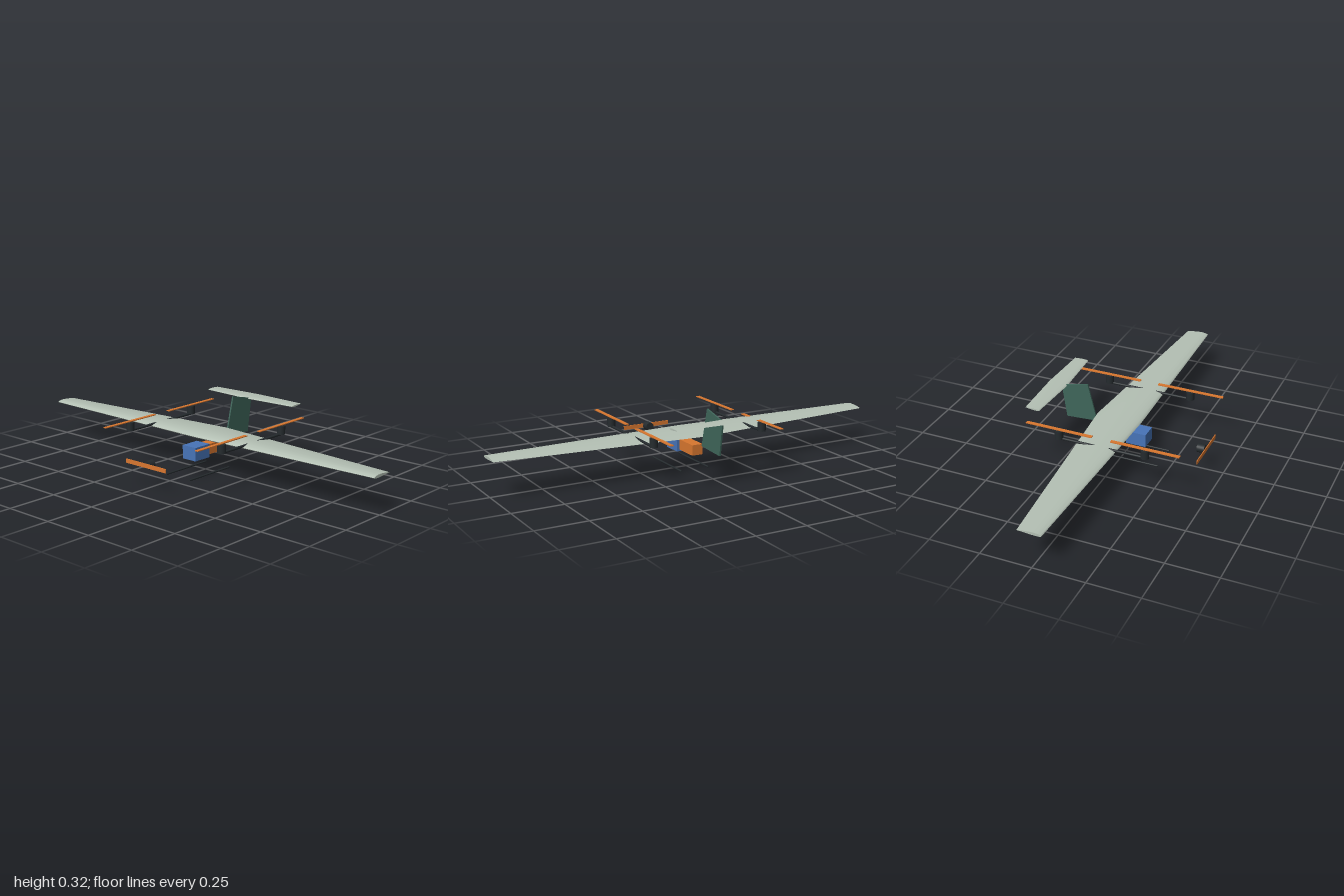
import * as THREE from 'three';
import { toCreasedNormals } from 'three/addons/utils/BufferGeometryUtils.js';

const mat = (color) => new THREE.MeshStandardMaterial({ color });

// Closed airfoil outline, unit chord, from trailing edge over the top and back underneath
function airfoil(thickness, camber, n = 14) {
  const t = (x) => 5 * thickness * (0.2969 * Math.sqrt(x) - 0.126 * x - 0.3516 * x * x + 0.2843 * x ** 3 - 0.1036 * x ** 4);
  const c = (x) => (x < 0.4 ? camber / 0.16 * (0.8 * x - x * x) : camber / 0.36 * (0.2 + 0.8 * x - x * x));
  const pts = [];
  for (let i = 0; i < 2 * n; i++) {
    const x = (1 + Math.cos(Math.PI * i / n)) / 2;
    pts.push([x, c(x) + (i <= n ? 1 : -1) * t(x)]);
  }
  return pts;
}

// Surface lofted through airfoil stations {z, lead, trail, y, rise}
function loft(profile, stations) {
  const pos = [], idx = [], m = profile.length;
  for (const s of stations) {
    const chord = s.trail - s.lead;
    for (const [u, v] of profile) pos.push(s.lead + u * chord, s.y + v * chord + u * (s.rise || 0), s.z);
  }
  for (let k = 0; k < stations.length - 1; k++) {
    for (let i = 0; i < m; i++) {
      const a = k * m + i, b = k * m + (i + 1) % m;
      idx.push(a, b, b + m, a, b + m, a + m);
    }
  }
  // Tip caps
  const caps = THREE.ShapeUtils.triangulateShape(profile.map((p) => new THREE.Vector2(...p)), []);
  const last = (stations.length - 1) * m;
  for (const [a, b, c] of caps) idx.push(a, c, b, last + a, last + b, last + c);
  const g = new THREE.BufferGeometry();
  g.setAttribute('position', new THREE.Float32BufferAttribute(pos, 3));
  g.setIndex(idx);
  return toCreasedNormals(g, 0.7);
}

export function createModel() {
  const model = new THREE.Group();
  model.name = 'aircraft';
  const skin = mat(0xb4c0b4), green = mat(0x3f665a), dark = mat(0x252b2e);
  const orange = mat(0xd9772f), blue = mat(0x4774b8);

  const add = (name, geometry, material, x = 0, y = 0, z = 0) => {
    const mesh = new THREE.Mesh(geometry, material);
    mesh.name = name;
    mesh.position.set(x, y, z);
    model.add(mesh);
    return mesh;
  };
  const rod = (r, length, sides = 16) => new THREE.CylinderGeometry(r, r, length, sides).rotateZ(Math.PI / 2);

  // Wing and tailplane
  const tip = { lead: -0.053, trail: 0.063, y: 0.178 };
  add('wing', loft(airfoil(0.12, 0.02), [
    { ...tip, z: -1 }, { lead: -0.08, trail: 0.15, y: 0.178, z: 0 }, { ...tip, z: 1 },
  ]), skin);
  const tailTip = { lead: 0.325, trail: 0.397, y: 0.294, rise: 0.003 };
  add('tailplane', loft(airfoil(0.11, 0), [
    { ...tailTip, z: -0.27 }, { lead: 0.31, trail: 0.407, y: 0.294, rise: 0.004, z: 0 }, { ...tailTip, z: 0.27 },
  ]), skin);

  // Swept fin plate
  const fin = new THREE.Shape([[0.153, 0.135], [0.313, 0.126], [0.338, 0.293], [0.2, 0.325]].map((p) => new THREE.Vector2(...p)));
  add('fin', new THREE.ExtrudeGeometry(fin, { depth: 0.008, bevelEnabled: false }), green, 0, 0, -0.004);

  // Payload bays
  add('avionicsBox', new THREE.BoxGeometry(0.1, 0.066, 0.082), blue, -0.067, 0.105, 0);
  add('batteryBox', new THREE.BoxGeometry(0.125, 0.051, 0.055), orange, 0.0455, 0.1055, 0);

  // Booms with lift motors and rotors, and skids on both sides
  for (const [side, s] of [['left', -1], ['right', 1]]) {
    const z = s * 0.291;
    add(side + 'Boom', rod(0.0063, 0.432), dark, -0.0015, 0.1855, z);
    for (const [end, x] of [['Front', -0.2175], ['Rear', 0.2145]]) {
      add(side + end + 'Motor', new THREE.CylinderGeometry(0.02, 0.02, 0.042, 24), dark, x, 0.206, z);
      add(side + end + 'Rotor', new THREE.BoxGeometry(0.338, 0.004, 0.018), orange, x, 0.2315, z);
    }
    add(side + 'Skid', rod(0.0045, 0.283), dark, -0.0545, 0.0045, s * 0.074);
  }

  // Nose motor and propeller
  add('noseMotor', rod(0.021, 0.037, 24), dark, -0.386, 0.11, 0);
  add('nosePropeller', new THREE.BoxGeometry(0.004, 0.02, 0.254), orange, -0.41, 0.11, 0);

  return model;
}
